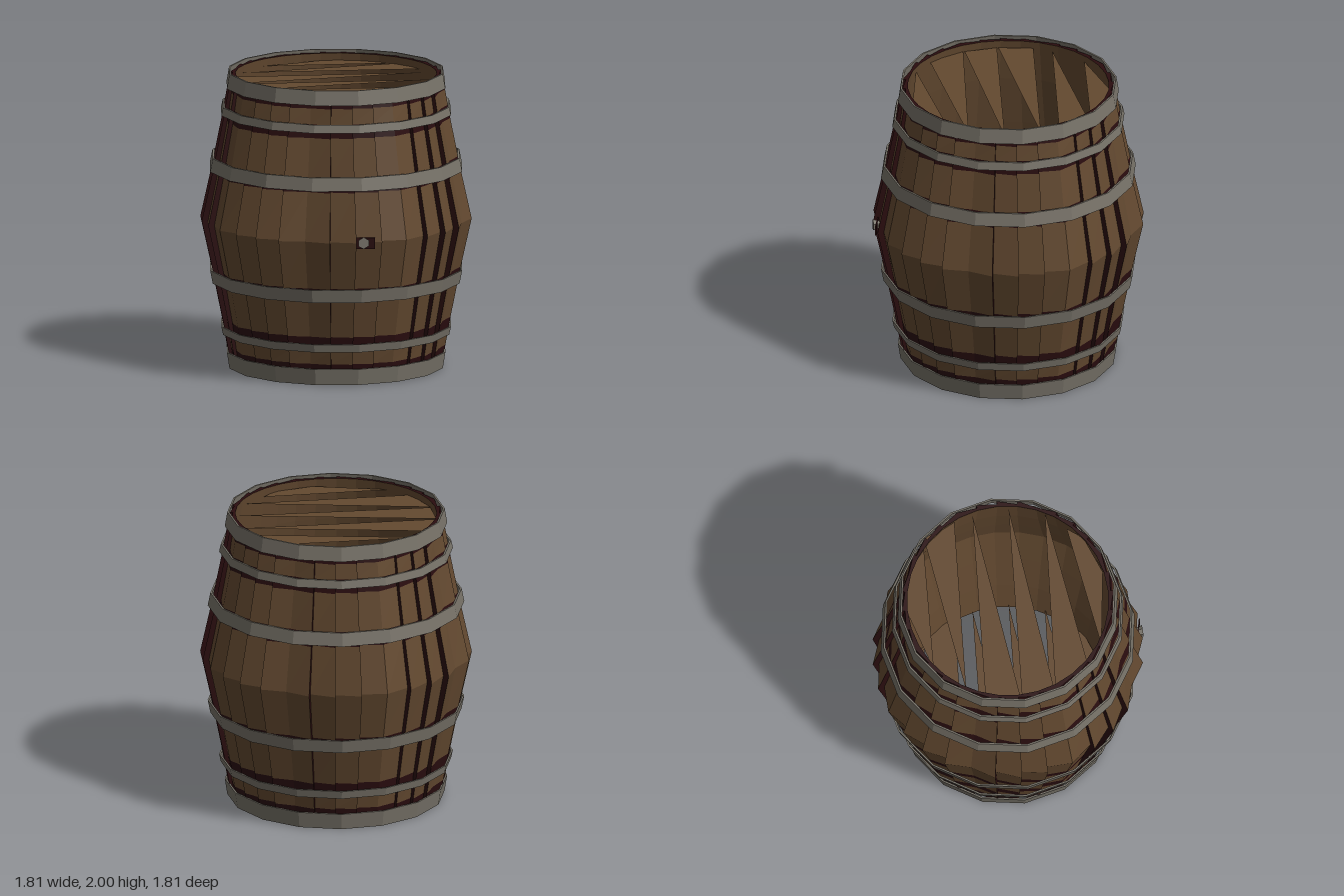
import * as THREE from 'three';

const wood = new THREE.MeshStandardMaterial({ color: 0x634930 });
const darkWood = new THREE.MeshStandardMaterial({ color: 0x2a0d0f });
const iron = new THREE.MeshStandardMaterial({ color: 0x777268 });
const lidWood = new THREE.MeshStandardMaterial({ color: 0x634930, side: THREE.DoubleSide });
wood.name = 'wood';
darkWood.name = 'dark wood';
iron.name = 'iron';
lidWood.name = 'lid wood';

const STAVES = 32;
const STEP = (Math.PI * 2) / STAVES;
const RIDGE = THREE.MathUtils.degToRad(19.5);

// Barrel radii from the middle to the ends: [distance from middle, high edge, low edge, inside]
const PROFILE = [
  [0, 0.905, 0.862, 0.845],
  [0.33, 0.832, 0.796, 0.78],
  [0.68, 0.762, 0.732, 0.715],
  [1, 0.705, 0.685, 0.668],
];
// Heights where the stave colour changes; the flag marks a dark band above that height
const ROWS = [
  [0.02, 1], [0.14, 0], [0.23, 1], [0.33, 0], [0.585, 1], [0.67, 0], [1, 0],
  [1.325, 1], [1.42, 0], [1.68, 1], [1.77, 0], [1.875, 1], [1.98, 0],
];

function radius(y, column) {
  const d = Math.abs(y - 1);
  let i = 0;
  while (i < PROFILE.length - 2 && d > PROFILE[i + 1][0]) i++;
  const a = PROFILE[i], b = PROFILE[i + 1];
  return THREE.MathUtils.lerp(a[column], b[column], (d - a[0]) / (b[0] - a[0]));
}

const polar = (r, angle, y) => [Math.sin(angle) * r, y, Math.cos(angle) * r];

function quad(list, a, b, c, d) {
  list.push(...a, ...b, ...c, ...a, ...c, ...d);
}

function meshFrom(points, material, name) {
  const geometry = new THREE.BufferGeometry();
  geometry.setAttribute('position', new THREE.Float32BufferAttribute(points, 3));
  geometry.computeVertexNormals();
  const mesh = new THREE.Mesh(geometry, material);
  mesh.name = name;
  return mesh;
}

// One bent plank, with one long edge standing higher than the other
function createStave(index) {
  const light = [], dark = [];
  const a0 = RIDGE + index * STEP, a1 = a0 + STEP;
  const highFirst = index % 8 < 4;
  const section = (y) => [
    polar(radius(y, highFirst ? 1 : 2), a0, y),
    polar(radius(y, highFirst ? 2 : 1), a1, y),
    polar(radius(y, 3), a1, y),
    polar(radius(y, 3), a0, y),
  ];
  for (let i = 0; i < ROWS.length - 1; i++) {
    const low = section(ROWS[i][0]), high = section(ROWS[i + 1][0]);
    for (let k = 0; k < 4; k++) {
      const n = (k + 1) % 4;
      const isDark = k % 2 === 1 || (k === 0 && ROWS[i][1]);
      quad(isDark ? dark : light, low[k], low[n], high[n], high[k]);
    }
  }
  const bottom = section(ROWS[0][0]), top = section(ROWS[ROWS.length - 1][0]);
  quad(dark, top[0], top[1], top[2], top[3]);
  quad(dark, bottom[3], bottom[2], bottom[1], bottom[0]);
  const stave = new THREE.Group();
  stave.name = 'stave';
  stave.add(meshFrom(light, wood, 'staveWood'), meshFrom(dark, darkWood, 'staveEdges'));
  return stave;
}

// Faceted iron band
function createHoop([y0, y1, r0, r1]) {
  const t = 0.012;
  const outline = [[r0, y0], [r1, y1], [r1 - t, y1], [r0 - t, y0], [r0, y0]];
  const geometry = new THREE.LatheGeometry(outline.map(([x, y]) => new THREE.Vector2(x, y)), 16).toNonIndexed();
  geometry.computeVertexNormals();
  const hoop = new THREE.Mesh(geometry, iron);
  hoop.name = 'hoop';
  return hoop;
}

// Wedge-shaped boards with open gaps between them, as [x, z] corners
const BOARDS = [
  [[-0.39, -0.56], [0.07, -0.68], [0.27, -0.63], [0.5, -0.49]],
  [[-0.57, -0.37], [0.54, -0.48], [0.64, -0.26]],
  [[-0.63, -0.25], [-0.67, -0.02], [0.65, -0.135]],
  [[-0.67, -0.01], [-0.64, 0.21], [0.66, 0.11]],
  [[-0.64, 0.22], [-0.52, 0.46], [0.6, 0.345]],
  [[-0.39, 0.57], [0.46, 0.47], [0.38, 0.57], [0.12, 0.66]],
];

function createBoards(y, name) {
  const group = new THREE.Group();
  group.name = name;
  for (const corners of BOARDS) {
    const shape = new THREE.Shape(corners.map(([x, z]) => new THREE.Vector2(x, -z)));
    const board = new THREE.Mesh(new THREE.ShapeGeometry(shape), lidWood);
    board.name = 'board';
    board.rotation.x = -Math.PI / 2;
    board.position.y = y;
    group.add(board);
  }
  return group;
}

export function createModel() {
  const barrel = new THREE.Group();
  barrel.name = 'barrel';

  const staves = new THREE.Group();
  staves.name = 'staves';
  for (let i = 0; i < STAVES; i++) staves.add(createStave(i));
  barrel.add(staves);

  // Hoops: bottom height, top height, bottom radius, top radius
  const hoops = new THREE.Group();
  hoops.name = 'hoops';
  for (const band of [
    [0, 0.11, 0.725, 0.742],
    [0.23, 0.285, 0.768, 0.78],
    [0.58, 0.67, 0.838, 0.856],
    [1.34, 1.43, 0.856, 0.838],
    [1.72, 1.775, 0.78, 0.768],
    [1.9, 2, 0.742, 0.725],
  ]) hoops.add(createHoop(band));
  barrel.add(hoops);

  barrel.add(createBoards(1.93, 'lid'), createBoards(0.07, 'base'));

  // Bung on the front with a dark stain around it
  const stain = new THREE.Mesh(new THREE.BoxGeometry(0.15, 0.075, 0.008), darkWood);
  stain.name = 'bungStain';
  stain.position.set(0.005, 0.995, 0.882);
  stain.rotation.y = -0.25;
  barrel.add(stain);

  const bungGeometry = new THREE.CylinderGeometry(0.04, 0.025, 0.05, 6).toNonIndexed();
  bungGeometry.computeVertexNormals();
  const bung = new THREE.Mesh(bungGeometry, iron);
  bung.name = 'bung';
  bung.rotation.x = Math.PI / 2;
  bung.position.set(0, 1, 0.885);
  barrel.add(bung);

  return barrel;
}
